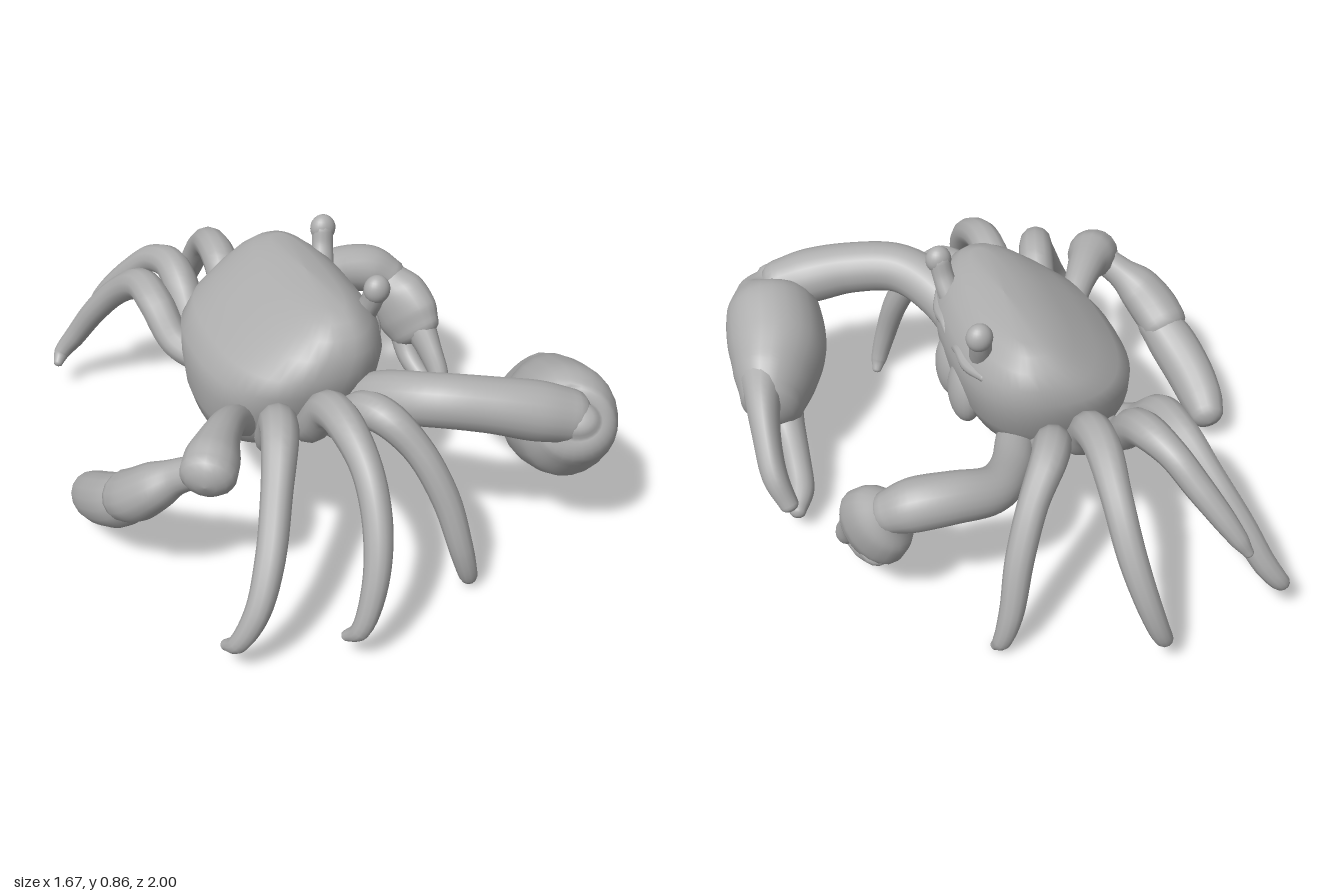
import * as THREE from 'three';

const shell = new THREE.MeshStandardMaterial({ color: 0xaeaeae });
shell.name = 'shell grey';

// Smooth skin over closed rings that all have the same number of points
function loft(rings) {
  const n = rings[0].length, pos = [], idx = [];
  rings.forEach(r => r.forEach(p => pos.push(p.x, p.y, p.z)));
  for (let i = 0; i < rings.length - 1; i++) {
    for (let j = 0; j < n; j++) {
      const a = i * n + j, b = i * n + (j + 1) % n;
      idx.push(a, b, a + n, b, b + n, a + n);
    }
  }
  const g = new THREE.BufferGeometry();
  g.setAttribute('position', new THREE.Float32BufferAttribute(pos, 3));
  g.setIndex(idx);
  g.computeVertexNormals();
  return g;
}

// Tapered limb through [x, y, z, halfWidth, halfHeight] with rounded ends
function limb(name, pts, sides = 16) {
  const path = new THREE.CatmullRomCurve3(pts.map(p => new THREE.Vector3(p[0], p[1], p[2])));
  const size = new THREE.CatmullRomCurve3(pts.map(p => new THREE.Vector3(p[3], p[4] ?? p[3], 0)),
    false, 'catmullrom', 0.4);
  const steps = (pts.length - 1) * 6, rings = [];
  const side = new THREE.Vector3();
  const ring = (c, t, r, shrink, push) => {
    const up = t.clone().cross(side);
    const out = [];
    for (let j = 0; j < sides; j++) {
      const a = j / sides * Math.PI * 2;
      out.push(c.clone().addScaledVector(t, push)
        .addScaledVector(side, Math.cos(a) * r.x * shrink)
        .addScaledVector(up, Math.sin(a) * r.y * shrink));
    }
    rings.push(out);
  };
  for (let i = 0; i <= steps; i++) {
    const u = i / steps, c = path.getPoint(u), t = path.getTangent(u), r = size.getPoint(u);
    if (i === 0) side.crossVectors(t, new THREE.Vector3(0, 1, 0));
    side.addScaledVector(t, -side.dot(t)).normalize();
    const cap = Math.min(r.x, r.y) * 0.7;
    if (i === 0) for (let k = 4; k > 0; k--) ring(c, t, r, Math.cos(k * Math.PI / 8) + 1e-3, -cap * Math.sin(k * Math.PI / 8));
    ring(c, t, r, 1, 0);
    if (i === steps) for (let k = 1; k < 5; k++) ring(c, t, r, Math.cos(k * Math.PI / 8) + 1e-3, cap * Math.sin(k * Math.PI / 8));
  }
  const m = new THREE.Mesh(loft(rings), shell);
  m.name = name;
  return m;
}

function ball(name, x, y, z, rx, ry, rz) {
  const m = new THREE.Mesh(new THREE.SphereGeometry(1, 24, 16), shell);
  m.name = name;
  m.position.set(x, y, z);
  m.scale.set(rx, ry, rz);
  return m;
}

// Carapace from level slices: [y, rear x, front x, half width, rear narrowing]
function carapace() {
  const slices = [
    [0.32, -0.2, -0.199, 0.001, 0], [0.322, -0.33, -0.06, 0.19, 0.06], [0.345, -0.365, 0.05, 0.26, 0.08],
    [0.41, -0.385, 0.13, 0.325, 0.1], [0.5, -0.392, 0.175, 0.375, 0.1], [0.58, -0.385, 0.19, 0.402, 0.05],
    [0.64, -0.335, 0.195, 0.41, 0.02], [0.7, -0.25, 0.18, 0.4, 0], [0.75, -0.175, 0.145, 0.375, 0],
    [0.785, -0.11, 0.1, 0.335, 0], [0.803, -0.05, 0.06, 0.28, 0], [0.81, 0, 0.001, 0.001, 0]];
  const n = 48, e = 2 / 2.6;
  const pw = v => Math.sign(v) * Math.pow(Math.abs(v), e);
  const rings = slices.map(([y, x0, x1, hz, narrow]) => Array.from({ length: n }, (_, j) => {
    const a = j / n * Math.PI * 2, cx = pw(Math.cos(a));
    const taper = 1 - narrow * Math.max(0, -cx);
    return new THREE.Vector3((x0 + x1) / 2 + cx * (x1 - x0) / 2, y, -pw(Math.sin(a)) * hz * taper);
  }));
  const m = new THREE.Mesh(loft(rings), shell);
  m.name = 'carapace';
  return m;
}

const legRadii = [0.05, 0.055, 0.06, 0.057, 0.048, 0.045, 0.039, 0.03, 0.017];
function leg(name, pts, s = 1) {
  const root = [pts[0][0] * 0.8, 0.4, 0.22 * Math.sign(pts[0][2])];
  return limb(name, [root, ...pts].map((p, i) => [p[0], p[1], p[2] * s, legRadii[i]]), 12);
}

export function createModel() {
  const crab = new THREE.Group();
  crab.name = 'crab';
  crab.add(carapace());

  // Face, mirrored across the middle
  for (const s of [1, -1]) {
    crab.add(limb('eyeStalk', [[0.11, 0.67, 0.155 * s, 0.046], [0.13, 0.715, 0.18 * s, 0.04],
      [0.143, 0.77, 0.21 * s, 0.036], [0.15, 0.82, 0.226 * s, 0.037]], 12));
    crab.add(ball('eye', 0.152, 0.82, 0.229 * s, 0.043, 0.047, 0.038));
    crab.add(limb('brow', [[0.145, 0.68, 0.25 * s, 0.015], [0.17, 0.67, 0.16 * s, 0.022],
      [0.175, 0.675, 0.08 * s, 0.018], [0.175, 0.645, 0.02 * s, 0.014]], 10));
    crab.add(ball('mouthPlate', 0.155, 0.505, 0.072 * s, 0.055, 0.115, 0.084));
  }

  // Two pairs of walking legs that match on both sides
  const middleLeg = [[-0.13, 0.47, 0.38], [-0.12, 0.6, 0.5], [-0.115, 0.62, 0.615], [-0.105, 0.55, 0.77],
    [-0.115, 0.42, 0.88], [-0.15, 0.27, 0.95], [-0.2, 0.13, 0.965], [-0.23, 0.09, 0.93]];
  const foreLeg = [[-0.03, 0.46, 0.38], [0, 0.565, 0.49], [0.04, 0.575, 0.57], [0.115, 0.49, 0.65],
    [0.18, 0.34, 0.72], [0.22, 0.17, 0.765], [0.25, 0.06, 0.765], [0.265, 0.025, 0.745]];
  for (const s of [1, -1]) {
    crab.add(leg('middleLeg', middleLeg, s), leg('foreLeg', foreLeg, s));
  }

  // Rear legs, posed differently on each side; the right one is lifted off the ground
  crab.add(leg('leftRearLeg', [[-0.25, 0.44, 0.36], [-0.27, 0.57, 0.47], [-0.3, 0.585, 0.57], [-0.36, 0.48, 0.7],
    [-0.425, 0.35, 0.82], [-0.49, 0.22, 0.885], [-0.55, 0.12, 0.88], [-0.575, 0.09, 0.84]]));
  crab.add(leg('rightRearLeg', [[-0.265, 0.44, -0.36], [-0.275, 0.56, -0.48], [-0.285, 0.6, -0.57], [-0.325, 0.58, -0.67],
    [-0.375, 0.51, -0.745], [-0.43, 0.43, -0.81], [-0.475, 0.36, -0.855], [-0.505, 0.31, -0.875]]));
  crab.add(leg('rightHindLeg', [[-0.35, 0.44, -0.31], [-0.385, 0.54, -0.42], [-0.4, 0.555, -0.54], [-0.45, 0.47, -0.68],
    [-0.515, 0.35, -0.78], [-0.58, 0.22, -0.85], [-0.63, 0.15, -0.87], [-0.655, 0.12, -0.845]]));

  // Left hind leg: folded upper part, wrist and broad paddle
  crab.add(limb('leftHindLegUpper', [[-0.28, 0.42, 0.22, 0.045], [-0.375, 0.52, 0.34, 0.05],
    [-0.45, 0.54, 0.45, 0.065], [-0.495, 0.525, 0.52, 0.085, 0.085], [-0.525, 0.51, 0.57, 0.088, 0.08]]));
  crab.add(limb('leftHindLegWrist', [[-0.54, 0.5, 0.53, 0.05], [-0.595, 0.46, 0.48, 0.055], [-0.65, 0.41, 0.435, 0.083, 0.075],
    [-0.69, 0.355, 0.38, 0.092, 0.082], [-0.71, 0.315, 0.32, 0.087, 0.08]]));
  crab.add(limb('leftHindLegPaddle', [[-0.69, 0.32, 0.34, 0.075], [-0.725, 0.26, 0.26, 0.084, 0.088], [-0.75, 0.2, 0.15, 0.08, 0.088],
    [-0.758, 0.155, 0.06, 0.073, 0.08], [-0.755, 0.13, 0, 0.06, 0.064]]));

  // Large left claw
  crab.add(limb('largeClawArm', [[0.02, 0.42, 0.25, 0.075], [0.09, 0.54, 0.41, 0.085], [0.2, 0.59, 0.55, 0.085],
    [0.36, 0.58, 0.625, 0.088], [0.5, 0.55, 0.665, 0.095], [0.61, 0.52, 0.69, 0.085]], 20));
  crab.add(limb('largeClawPalm', [[0.61, 0.53, 0.73, 0.07, 0.06], [0.63, 0.49, 0.7, 0.125, 0.12], [0.65, 0.445, 0.61, 0.165, 0.178],
    [0.67, 0.395, 0.48, 0.168, 0.185], [0.705, 0.35, 0.37, 0.138, 0.173], [0.73, 0.32, 0.3, 0.108, 0.145]], 24));
  crab.add(limb('largeClawUpperFinger', [[0.74, 0.4, 0.36, 0.09, 0.1], [0.77, 0.37, 0.24, 0.06, 0.08],
    [0.785, 0.3, 0.13, 0.047, 0.068], [0.785, 0.21, 0.03, 0.043, 0.053], [0.755, 0.125, -0.025, 0.032]]));
  crab.add(limb('largeClawLowerFinger', [[0.7, 0.26, 0.37, 0.085, 0.09], [0.69, 0.2, 0.26, 0.058, 0.062],
    [0.69, 0.155, 0.15, 0.048, 0.052], [0.7, 0.115, 0.05, 0.044, 0.042], [0.73, 0.09, -0.025, 0.028]]));

  // Small right claw
  crab.add(limb('smallClawArm', [[0.04, 0.41, -0.25, 0.065], [0.11, 0.43, -0.41, 0.068], [0.2, 0.45, -0.51, 0.075],
    [0.33, 0.475, -0.535, 0.082], [0.45, 0.465, -0.52, 0.085], [0.52, 0.43, -0.49, 0.07]], 20));
  crab.add(limb('smallClawPalm', [[0.51, 0.44, -0.5, 0.065, 0.065], [0.535, 0.38, -0.46, 0.086, 0.118],
    [0.56, 0.31, -0.41, 0.082, 0.132], [0.575, 0.26, -0.37, 0.065, 0.113]], 20));
  crab.add(limb('smallClawUpperFinger', [[0.585, 0.28, -0.35, 0.055, 0.065], [0.6, 0.205, -0.28, 0.04, 0.05],
    [0.61, 0.14, -0.23, 0.034, 0.038], [0.6, 0.095, -0.205, 0.02]]));
  crab.add(limb('smallClawLowerFinger', [[0.555, 0.24, -0.43, 0.055, 0.06], [0.55, 0.16, -0.365, 0.04, 0.043],
    [0.57, 0.11, -0.285, 0.032], [0.59, 0.09, -0.225, 0.019]]));

  return crab;
}
